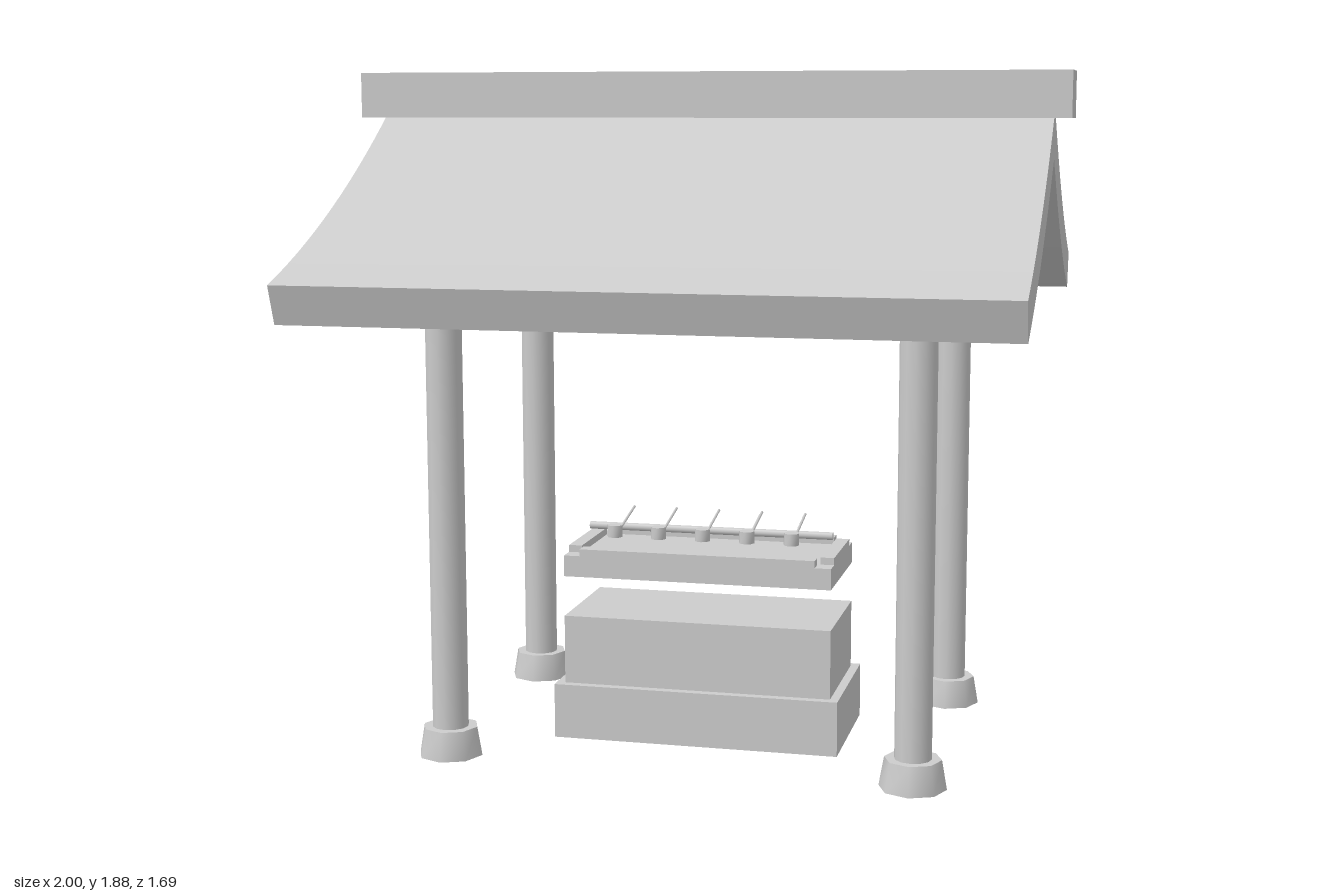
import * as THREE from 'three';
import { toCreasedNormals } from 'three/addons/utils/BufferGeometryUtils.js';

export function createModel() {
  const group = new THREE.Group();
  group.name = 'waterPavilion';
  const grey = new THREE.MeshStandardMaterial({ color: 0xcccccc });
  grey.name = 'plain grey';

  const add = (name, geometry, x = 0, y = 0, z = 0) => {
    const mesh = new THREE.Mesh(geometry, grey);
    mesh.name = name;
    mesh.position.set(x, y, z);
    group.add(mesh);
    return mesh;
  };
  // Box given by its size and the height of its underside
  const box = (name, w, h, d, x, bottom, z) =>
    add(name, new THREE.BoxGeometry(w, h, d), x, bottom + h / 2, z);

  // Posts on tapered footings
  const postX = 0.645, postZ = 0.41;
  for (const sx of [-1, 1]) {
    for (const sz of [-1, 1]) {
      const footing = new THREE.CylinderGeometry(0.077, 0.091, 0.08, 8);
      add('footing', toCreasedNormals(footing, 0.9), sx * postX, 0.04, sz * postZ);
      add('post', new THREE.CylinderGeometry(0.05, 0.05, 1.16, 12), sx * postX, 0.65, sz * postZ);
    }
  }

  // Crossing beams on the posts
  for (const s of [-1, 1]) {
    box('longBeam', 1.535, 0.088, 0.067, 0, 1.214, s * postZ);
    box('crossBeam', 0.067, 0.088, 1.028, s * postX, 1.214, 0);
  }

  // Sagging gable roof, section drawn in (z, y) and extruded along x
  const section = new THREE.Shape();
  section.moveTo(-0.844, 1.335);
  section.quadraticCurveTo(-0.422, 1.476, 0, 1.776);
  section.quadraticCurveTo(0.422, 1.476, 0.844, 1.335);
  section.lineTo(0.809, 1.231);
  section.quadraticCurveTo(0.405, 1.366, 0, 1.643);
  section.quadraticCurveTo(-0.405, 1.366, -0.809, 1.231);
  section.closePath();
  const roof = new THREE.ExtrudeGeometry(section, { depth: 1.9, bevelEnabled: false, curveSegments: 14 });
  roof.translate(0, 0, -0.95);
  roof.rotateY(Math.PI / 2);
  add('roof', toCreasedNormals(roof, 0.5));
  box('ridgeBeam', 2, 0.126, 0.178, 0, 1.752, 0);

  // Stepped plinth
  box('plinthBase', 0.815, 0.155, 0.41, 0, 0, 0);
  box('plinthTop', 0.766, 0.195, 0.36, 0, 0.155, 0);

  // Basin slab with raised rims that stop short of the corners
  box('basinSlab', 0.766, 0.06, 0.36, 0, 0.465, 0);
  for (const s of [-1, 1]) {
    box('longRim', 0.674, 0.02, 0.04, 0, 0.525, s * 0.16);
    box('endRim', 0.038, 0.02, 0.26, s * 0.364, 0.525, 0);
  }

  // Rail carrying five ladles
  add('rail', new THREE.CylinderGeometry(0.011, 0.011, 0.714, 8), 0, 0.579, 0).rotation.z = Math.PI / 2;
  const start = new THREE.Vector3(0, 0.57, 0.095);
  const end = new THREE.Vector3(0, 0.616, -0.115);
  const handle = new THREE.TubeGeometry(new THREE.LineCurve3(start, end), 1, 0.004, 6);
  for (let i = -2; i <= 2; i++) {
    const x = i * 0.128;
    add('ladleCup', toCreasedNormals(new THREE.CylinderGeometry(0.022, 0.022, 0.034, 8), 0.9), x, 0.586, 0.097);
    add('ladleHandle', handle, x);
  }

  return group;
}
